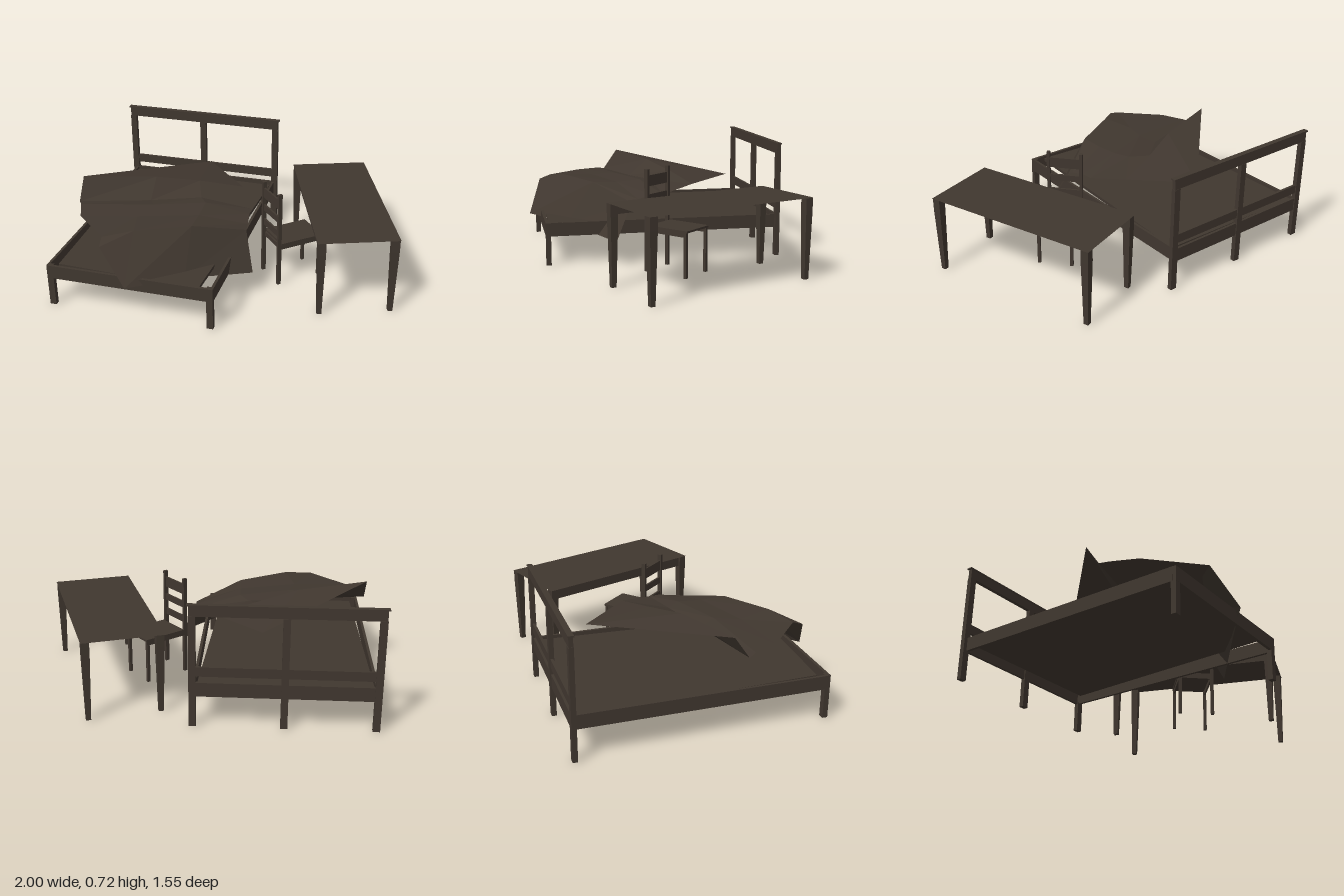
import * as THREE from 'three';

export function createModel() {
  const wood = new THREE.MeshStandardMaterial({ color: 0x40372f, flatShading: true, side: THREE.DoubleSide });
  wood.name = 'darkBrown';
  const model = new THREE.Group();

  const mesh = (parent, name, geometry) => {
    const m = new THREE.Mesh(geometry, wood);
    m.name = name;
    parent.add(m);
    return m;
  };
  // Box given by centre x/z, bottom and top height, and its size in x and z
  const box = (parent, name, x, z, y0, y1, w, d) => {
    const m = mesh(parent, name, new THREE.BoxGeometry(w, y1 - y0, d));
    m.position.set(x, (y0 + y1) / 2, z);
    return m;
  };
  const group = (name, x, z, angle) => {
    const g = new THREE.Group();
    g.name = name;
    g.position.set(x, 0, z);
    g.rotation.y = angle;
    model.add(g);
    return g;
  };

  // Bed frame, turned slightly
  const bed = group('bed', -0.4725, -0.016, -0.031);
  box(bed, 'headboardTop', 0, -0.73, 0.65, 0.708, 1.05, 0.024);
  box(bed, 'headboardCap', 0, -0.73, 0.708, 0.716, 1.07, 0.032);
  box(bed, 'headboardLowerRail', 0, -0.73, 0.30, 0.355, 1.0, 0.016);
  box(bed, 'headboardBaseRail', 0, -0.73, 0.18, 0.262, 1.0, 0.016);
  for (const x of [-0.507, 0, 0.507]) box(bed, 'headboardPost', x, -0.73, 0, 0.65, 0.04, 0.028);
  for (const s of [-1, 1]) {
    box(bed, 'sideRail', s * 0.497, -0.01, 0.18, 0.262, 0.016, 1.43);
    box(bed, 'footLeg', s * 0.485, 0.708, 0, 0.262, 0.038, 0.03);
  }
  box(bed, 'footboard', 0, 0.715, 0.18, 0.262, 1.005, 0.018);

  // Thin, slightly skewed mattress base
  const outline = [[-0.936, -0.74], [0.03, -0.695], [-0.08, 0.70], [-0.946, 0.635]];
  const base = new THREE.ExtrudeGeometry(
    new THREE.Shape(outline.map(([x, z]) => new THREE.Vector2(x, -z))),
    { depth: 0.02, bevelEnabled: false });
  base.rotateX(-Math.PI / 2);
  mesh(model, 'mattressBase', base).position.y = 0.228;

  // Crumpled blanket: rows from the back corner to the hanging front hem
  const rows = [
    [[-0.33, 0.47, -0.51], [-0.33, 0.47, -0.51], [-0.33, 0.47, -0.51], [-0.33, 0.47, -0.51]],
    [[-0.98, 0.57, 0.11], [-0.55, 0.555, -0.02], [-0.3, 0.51, -0.12], [-0.04, 0.46, -0.20]],
    [[-0.98, 0.44, 0.20], [-0.55, 0.45, 0.10], [-0.25, 0.465, 0.02], [0.065, 0.42, 0.01]],
    [[-0.95, 0.45, 0.25], [-0.5, 0.475, 0.2], [-0.2, 0.475, 0.1], [0.07, 0.42, 0.08]],
    [[-0.89, 0.45, 0.40], [-0.55, 0.465, 0.35], [-0.2, 0.465, 0.25], [0.08, 0.40, 0.17]],
    [[-0.67, 0.455, 0.62], [-0.5, 0.48, 0.55], [-0.2, 0.47, 0.40], [0.08, 0.38, 0.21]],
    [[-0.66, 0.43, 0.69], [-0.49, 0.23, 0.775], [-0.2, 0.215, 0.565], [0.145, 0.155, 0.315]],
  ];
  const index = [];
  for (let r = 0; r < rows.length - 1; r++) {
    for (let c = 0; c < 3; c++) {
      const a = r * 4 + c, b = a + 4;
      if (r > 0) index.push(a, b, a + 1);
      index.push(a + 1, b, b + 1);
    }
  }
  const blanket = new THREE.BufferGeometry();
  blanket.setAttribute('position', new THREE.Float32BufferAttribute(rows.flat(2), 3));
  blanket.setIndex(index);
  blanket.computeVertexNormals();
  mesh(model, 'blanket', blanket);

  // Desk with one panel on the chair side and tapered legs
  const desk = group('desk', 0.605, -0.137, 0.315);
  const top = new THREE.PlaneGeometry(0.473, 1.075);
  top.rotateX(-Math.PI / 2);
  mesh(desk, 'deskTop', top).position.y = 0.475;
  box(desk, 'deskPanel', -0.215, 0, 0.41, 0.473, 0.012, 1.03);
  for (const x of [-0.21, 0.21]) {
    for (const z of [-0.51, 0.51]) {
      box(desk, 'deskLegTop', x, z, 0.40, 0.474, 0.046, 0.046);
      const taper = new THREE.CylinderGeometry(0.046 / Math.SQRT2, 0.028 / Math.SQRT2, 0.40, 4);
      taper.rotateY(Math.PI / 4);
      mesh(desk, 'deskLeg', taper).position.set(x, 0.20, z);
    }
  }

  // Chair pushed under the desk; its own +z points towards the desk
  const chair = group('chair', 0.207, 0.08, 2.265);
  for (const s of [-1, 1]) {
    box(chair, 'backPost', s * 0.1, 0, 0, 0.61, 0.018, 0.024);
    box(chair, 'frontLeg', s * 0.1, 0.28, 0, 0.27, 0.018, 0.018);
    box(chair, 'seatSideRail', s * 0.1, 0.14, 0.24, 0.268, 0.01, 0.27);
  }
  for (const [y0, y1] of [[0.508, 0.572], [0.42, 0.46], [0.325, 0.365]]) {
    box(chair, 'backSlat', 0, 0, y0, y1, 0.19, 0.012);
  }
  box(chair, 'seatBackRail', 0, 0.01, 0.24, 0.268, 0.19, 0.01);
  box(chair, 'seat', 0, 0.155, 0.268, 0.28, 0.22, 0.28);

  return model;
}
